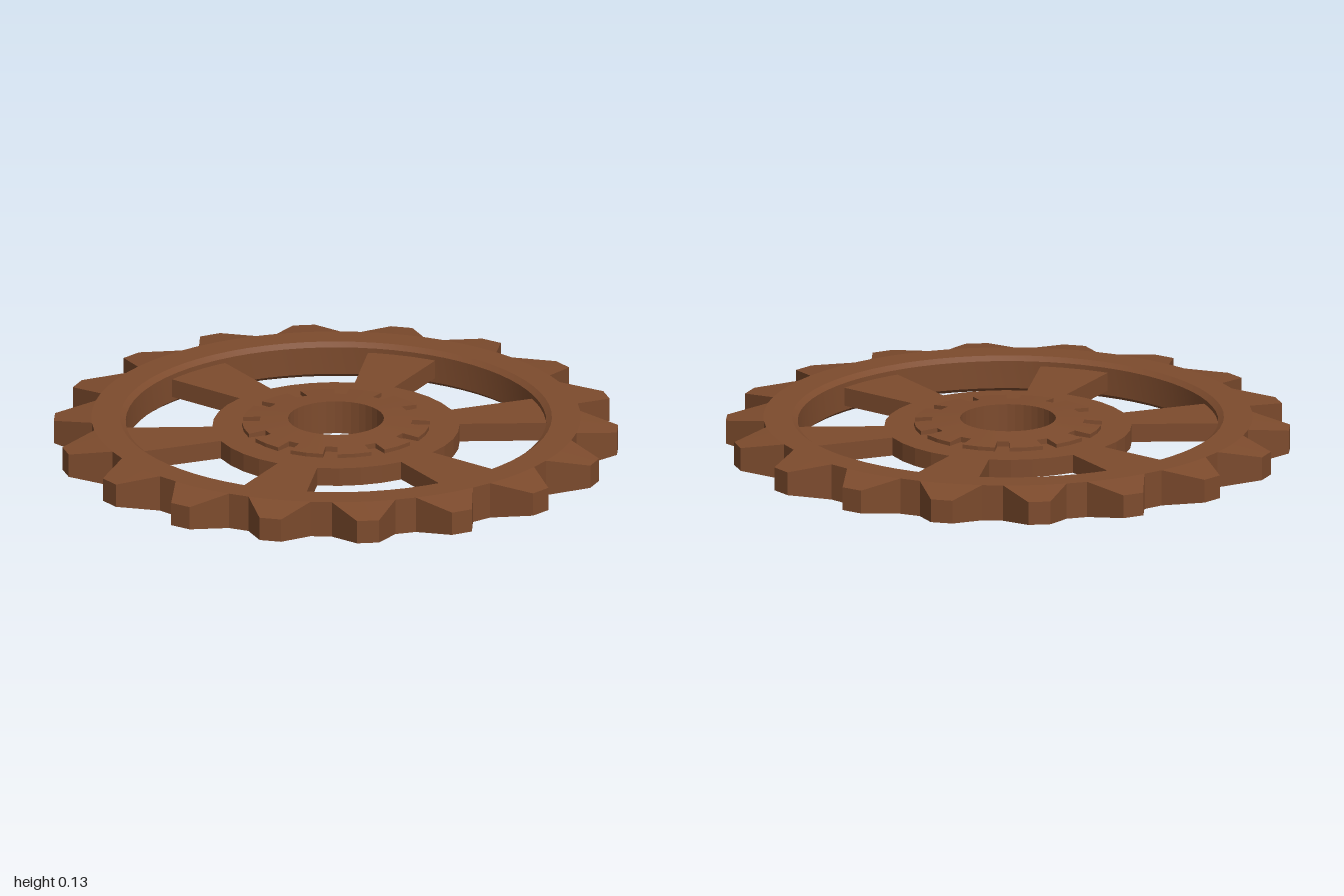
import * as THREE from 'three';
import { toCreasedNormals } from 'three/addons/utils/BufferGeometryUtils.js';

const MID = 0.065; // mid-plane height of the wheel
const TEETH = 18;
const rad = THREE.MathUtils.degToRad;

// Closed ring from sections { a: degrees, p: [[radius, y], ...] } ordered by angle.
// Section points run up the inner wall, then out, then down the outer wall.
function loftRing(sections) {
  const pos = [];
  const at = (s, j) => {
    const [r, y] = s.p[j % s.p.length];
    return new THREE.Vector3(Math.cos(rad(s.a)) * r, y, -Math.sin(rad(s.a)) * r);
  };
  const tri = (a, b, c) => {
    const area = b.clone().sub(a).cross(c.clone().sub(a)).length();
    if (area > 1e-7) for (const v of [a, b, c]) pos.push(v.x, v.y, v.z);
  };
  sections.forEach((s, i) => {
    const n = sections[(i + 1) % sections.length];
    for (let j = 0; j < s.p.length; j++) {
      const a = at(s, j), b = at(n, j), c = at(n, j + 1), d = at(s, j + 1);
      tri(a, c, b);
      tri(a, d, c);
    }
  });
  const g = new THREE.BufferGeometry();
  g.setAttribute('position', new THREE.Float32BufferAttribute(pos, 3));
  return toCreasedNormals(g, 0.16);
}

// Toothed rim: chamfered inner edge, teeth thinning towards the tip
function rimGeometry() {
  const sections = [];
  const section = (a, r, half) => sections.push({
    a,
    p: [
      [0.745, MID - 0.05], [0.745, MID + 0.05], [0.765, MID + 0.065], [0.867, MID + 0.065],
      [r, MID + half], [r, MID - half], [0.867, MID - 0.065], [0.765, MID - 0.065],
    ],
  });
  for (let i = 0; i < TEETH; i++) {
    const c = -5 + i * 360 / TEETH;
    section(c - 7.5, 0.867, 0.065);
    section(c - 2.25, 1, 0.042);
    section(c + 2.25, 1, 0.042);
    section(c + 7.5, 0.867, 0.065);
  }
  return loftRing(sections);
}

// Flat hub disc
function hubGeometry() {
  const h = 0.033, sections = [];
  for (let a = 0; a < 360; a += 10) {
    sections.push({ a, p: [[0.18, MID - h], [0.18, MID + h], [0.438, MID + h], [0.438, MID - h]] });
  }
  return loftRing(sections);
}

// Raised, slightly conical collar with twelve notches
function collarGeometry() {
  const sections = [];
  const section = (a, r) => {
    const h = 0.06 - (r - 0.17) * 0.08;
    sections.push({ a, p: [[0.17, MID - 0.06], [0.17, MID + 0.06], [r, MID + h], [r, MID - h]] });
  };
  for (let i = 0; i < 12; i++) {
    const c = i * 30;
    section(c - 10.5, 0.27);
    section(c - 10.5, 0.333);
    section(c, 0.333);
    section(c + 10.5, 0.333);
    section(c + 10.5, 0.27);
  }
  return loftRing(sections);
}

// Spoke widening with the distance from the centre
function spokeGeometry() {
  const g = new THREE.BoxGeometry(0.335, 0.066, 1).translate(0.5825, MID, 0);
  const p = g.attributes.position;
  for (let i = 0; i < p.count; i++) p.setZ(i, p.getZ(i) * p.getX(i) * 0.342);
  g.computeVertexNormals();
  return g;
}

export function createModel() {
  const brown = new THREE.MeshStandardMaterial({ color: 0x7d4b2d });
  brown.name = 'rusty brown';
  const model = new THREE.Group();
  model.name = 'sprocketWheel';
  const add = (name, geometry) => {
    const m = new THREE.Mesh(geometry, brown);
    m.name = name;
    model.add(m);
    return m;
  };

  add('toothedRim', rimGeometry());
  add('hub', hubGeometry());
  add('notchedCollar', collarGeometry());

  const spoke = spokeGeometry();
  for (let i = 0; i < 6; i++) add('spoke' + (i + 1), spoke).rotation.y = rad(30 + i * 60);
  return model;
}
